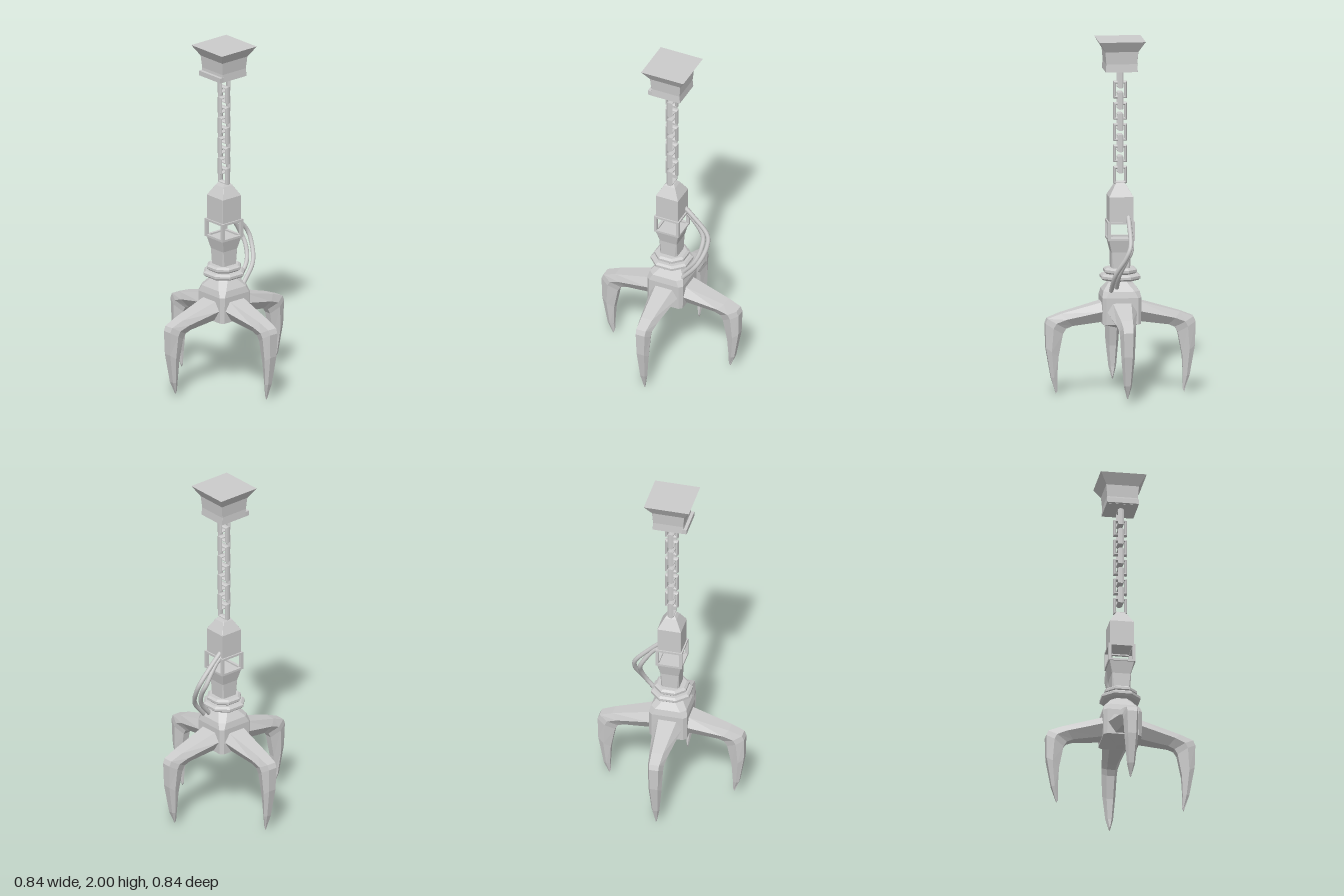
import * as THREE from 'three';

const material = new THREE.MeshStandardMaterial({ color: 0xcccccc, flatShading: true });
const smooth = new THREE.MeshStandardMaterial({ color: 0xcccccc });

// Skin between equal-sized rings of [x, y, z] points, with closed ends
function loft(rings) {
  const n = rings[0].length, index = [];
  for (let i = 0; i < rings.length - 1; i++) {
    for (let j = 0; j < n; j++) {
      const a = i * n + j, b = i * n + (j + 1) % n;
      index.push(a, b, b + n, a, b + n, a + n);
    }
  }
  const end = (rings.length - 1) * n;
  for (let j = 1; j < n - 1; j++) index.push(0, j + 1, j, end, end + j, end + j + 1);
  const g = new THREE.BufferGeometry();
  g.setAttribute('position', new THREE.Float32BufferAttribute(rings.flat(2), 3));
  g.setIndex(index);
  g.computeVertexNormals();
  return g;
}

// Square ring with half width w and corner cut c
function squareRing(y, w, c) {
  const k = w - c;
  return [[w, y, k], [w, y, -k], [k, y, -w], [-k, y, -w],
    [-w, y, -k], [-w, y, k], [-k, y, w], [k, y, w]];
}

// Stack of square sections given as [y, half width, corner cut]
const squareStack = (profile) => loft(profile.map(([y, w, c = 0.001]) => squareRing(y, w, c)));

function linkGeometry() {
  const rect = (T, w, h) => new T([[-w, -h], [w, -h], [w, h], [-w, h]].map(([x, y]) => new THREE.Vector2(x, y)));
  const shape = rect(THREE.Shape, 0.038, 0.049);
  shape.holes.push(rect(THREE.Path, 0.023, 0.034));
  return new THREE.ExtrudeGeometry(shape, {
    depth: 0.014, bevelThickness: 0.01, bevelSize: 0.005, bevelOffset: -0.005, bevelSegments: 1,
  }).translate(0, 0, -0.007);
}

// Hexagonal sections: outer point, inner point, half width
function clawGeometry(tipY) {
  const stations = [
    [0.05, 0.55, 0.05, 0.41, 0.09],
    [0.11, 0.52, 0.11, 0.408, 0.083],
    [0.335, 0.457, 0.27, 0.385, 0.053],
    [0.41, 0.428, 0.305, 0.37, 0.046],
    [0.422, 0.40, 0.323, 0.34, 0.044],
    [0.419, 0.265, 0.348, 0.21, 0.037],
    [0.39, 0.095, 0.354, 0.09, 0.022],
    [0.361, tipY, 0.351, tipY + 0.018, 0.004],
  ];
  return loft(stations.map(([ox, oy, ix, iy, b]) => {
    const mx = ox + (ix - ox) * 0.45, my = oy + (iy - oy) * 0.45;
    return [[ox, oy, b * 0.62], [mx, my, b], [ix, iy, b * 0.5],
      [ix, iy, -b * 0.5], [mx, my, -b], [ox, oy, -b * 0.62]];
  }));
}

export function createModel() {
  const model = new THREE.Group();
  const add = (name, geometry, mat = material) => {
    const mesh = new THREE.Mesh(geometry, mat);
    mesh.name = name;
    model.add(mesh);
    return mesh;
  };

  // Ceiling mount with a lip along its front
  add('ceilingMount', squareStack([[1.825, 0.09], [1.87, 0.087], [1.94, 0.093], [2, 0.13]]));
  add('mountLip', new THREE.BoxGeometry(0.18, 0.028, 0.025)).position.set(0, 1.84, 0.094);

  // Chain of alternating links
  const link = linkGeometry();
  for (let i = 0; i < 10; i++) {
    const m = add('chainLink', link);
    m.position.y = 1.775 - i * 0.0602;
    m.rotation.y = i % 2 ? 0 : Math.PI / 2;
  }

  // Upper housing
  add('upperHousing', squareStack([[0.97, 0.068], [1.115, 0.068], [1.175, 0.034], [1.19, 0.022]]));

  // Open window frame: corner posts and rails
  for (const sx of [-1, 1]) {
    for (const sz of [-1, 1]) {
      add('framePost', new THREE.BoxGeometry(0.017, 0.105, 0.017)).position.set(sx * 0.068, 0.922, sz * 0.068);
    }
  }
  for (const y of [0.969, 0.875]) {
    for (let k = 0; k < 4; k++) {
      const pivot = new THREE.Group();
      pivot.name = 'frameRailPivot';
      pivot.rotation.y = k * Math.PI / 2;
      const rail = new THREE.Mesh(new THREE.BoxGeometry(0.15, 0.012, 0.016), material);
      rail.name = 'frameRail';
      rail.position.set(0, y, 0.068);
      pivot.add(rail);
      model.add(pivot);
    }
  }

  // Tapered neck and stacked collars
  add('neck', squareStack([[0.69, 0.052, 0.012], [0.8, 0.054, 0.004], [0.872, 0.07]]));
  const collar = (name, y, h, w) => add(name, squareStack(
    [[y, w - 0.012, w * 0.5], [y + h * 0.3, w, w * 0.55], [y + h * 0.7, w, w * 0.55], [y + h, w - 0.012, w * 0.5]]));
  collar('upperCollar', 0.677, 0.034, 0.09);
  collar('lowerCollar', 0.642, 0.034, 0.109);

  // Domed hub with a shallow pointed base
  add('hub', squareStack([[0.37, 0.02, 0.002], [0.4, 0.108, 0.018], [0.55, 0.11, 0.02],
    [0.585, 0.102, 0.03], [0.625, 0.072, 0.035], [0.65, 0.055, 0.03]]));

  // Four claws
  for (let k = 0; k < 4; k++) {
    add('claw', clawGeometry(k % 2 ? 0.02 : 0)).rotation.y = k * Math.PI / 2;
  }

  // Two hoses at the back
  const hoses = [
    [[-0.04, 1.01, -0.05], [-0.04, 0.96, -0.105], [-0.035, 0.85, -0.203], [-0.01, 0.79, -0.21],
      [0.045, 0.69, -0.175], [0.062, 0.585, -0.09]],
    [[-0.045, 0.985, -0.05], [-0.045, 0.94, -0.1], [-0.045, 0.83, -0.17], [-0.015, 0.77, -0.175],
      [0.02, 0.69, -0.15], [0.03, 0.6, -0.08]],
  ];
  for (const pts of hoses) {
    const curve = new THREE.CatmullRomCurve3(pts.map((p) => new THREE.Vector3(...p)));
    add('hose', new THREE.TubeGeometry(curve, 24, 0.013, 8), smooth);
  }

  return model;
}
